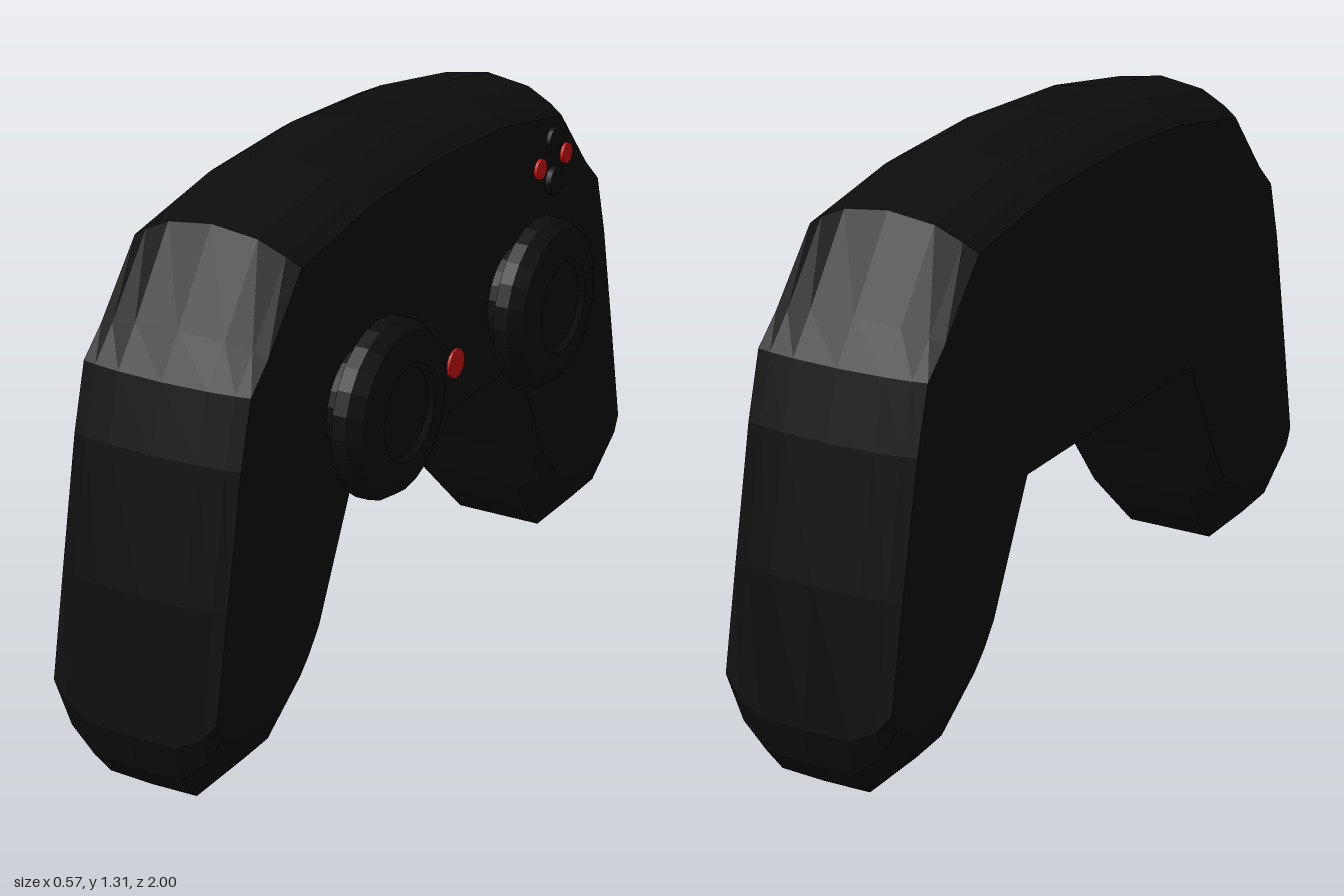
import * as THREE from 'three';

const black = new THREE.MeshStandardMaterial({ color: 0x0d0d0d });
black.name = 'black plastic';
const red = new THREE.MeshStandardMaterial({ color: 0xd01212 });
red.name = 'red';

const FACE_X = 0.145, MID_X = -0.07;

// Half outline of the shell at its middle, as [z, y], from the top centre round to the inner grip
const HALF = [
  [0, 1.31], [0.3, 1.295], [0.63, 1.24], [0.77, 1.04], [0.84, 0.945], [0.885, 0.79],
  [0.95, 0.48], [1, 0.16], [0.98, 0.07], [0.92, 0], [0.72, 0],
  [0.635, 0.08], [0.595, 0.16], [0.55, 0.28], [0.4, 0.59],
];
// Cross-section layers: [x offset, top drop, side inset, grip tip raise]
const LAYERS = [
  [-0.215, 0.07, 0.02, 0.16], [-0.18, 0.047, 0.013, 0.07], [-0.115, 0.016, 0.005, 0],
  [0, 0, 0, 0],
  [0.115, 0.016, 0.005, 0], [0.18, 0.047, 0.013, 0.07], [0.215, 0.07, 0.02, 0.16],
];

function ring([dx, drop, inset, raise]) {
  const half = HALF.map(([z, y], i) => {
    const top = i < 3 ? 1 : i === 3 ? 0.45 : 0;
    const side = i > 1 && i < 10 ? 1 : 0;
    const tip = Math.max(0, 1 - y / 0.3);
    return [MID_X + dx, y - drop * top + raise * tip, z - inset * side];
  });
  const mirrored = half.slice(1).reverse().map(([x, y, z]) => [x, y, -z]);
  return [...half, ...mirrored];
}

// Shell lofted through the layers, closed with flat caps
function shellGeometry() {
  const rings = LAYERS.map(ring);
  const n = rings[0].length;
  const index = [];
  for (let i = 0; i < rings.length - 1; i++) {
    for (let j = 0; j < n; j++) {
      const k = (j + 1) % n;
      const a = i * n + j, b = i * n + k, c = b + n, d = a + n;
      index.push(a, b, c, a, c, d);
    }
  }
  const last = (rings.length - 1) * n;
  const contour = rings[0].map(([, y, z]) => new THREE.Vector2(-z, y));
  for (const [a, b, c] of THREE.ShapeUtils.triangulateShape(contour, [])) {
    index.push(last + a, last + b, last + c, c, b, a);
  }
  const g = new THREE.BufferGeometry();
  g.setAttribute('position', new THREE.Float32BufferAttribute(rings.flat(2), 3));
  g.setIndex(index);
  const flat = g.toNonIndexed();
  flat.computeVertexNormals();
  return flat;
}

// Thumbstick turned about the x axis: stem, flared cap and dished centre
function stickGeometry() {
  const profile = [
    [0.135, -0.01], [0.14, 0.035], [0.21, 0.055], [0.21, 0.09], [0.19, 0.122],
    [0.155, 0.137], [0.115, 0.135], [0.105, 0.122], [0, 0.12],
  ].map(([r, h]) => new THREE.Vector2(r, h));
  const g = new THREE.LatheGeometry(profile, 24).toNonIndexed();
  g.computeVertexNormals();
  return g.rotateZ(-Math.PI / 2);
}

export function createModel() {
  const group = new THREE.Group();
  group.name = 'gamepad';

  const add = (name, geometry, material, x = 0, y = 0, z = 0) => {
    const mesh = new THREE.Mesh(geometry, material);
    mesh.name = name;
    mesh.position.set(x, y, z);
    group.add(mesh);
  };
  const disc = (name, r, thick, material, x, y, z) =>
    add(name, new THREE.CylinderGeometry(r, r, thick, 16).rotateZ(-Math.PI / 2), material, x, y, z);

  add('shell', shellGeometry(), black);

  const stick = stickGeometry();
  add('leftThumbstick', stick, black, FACE_X, 0.775, 0.375);
  add('rightThumbstick', stick, black, FACE_X, 0.775, -0.375);

  // Diamond of four buttons, the two at the sides red
  disc('upperButton', 0.034, 0.02, black, 0.146, 1.12, -0.565);
  disc('lowerButton', 0.036, 0.02, black, 0.15, 1.017, -0.565);
  disc('innerButton', 0.026, 0.012, red, 0.148, 1.065, -0.495);
  disc('outerButton', 0.026, 0.012, red, 0.148, 1.067, -0.632);

  // Centre button, standing off the face
  disc('centreButton', 0.036, 0.008, red, 0.19, 0.742, 0);

  return group;
}
